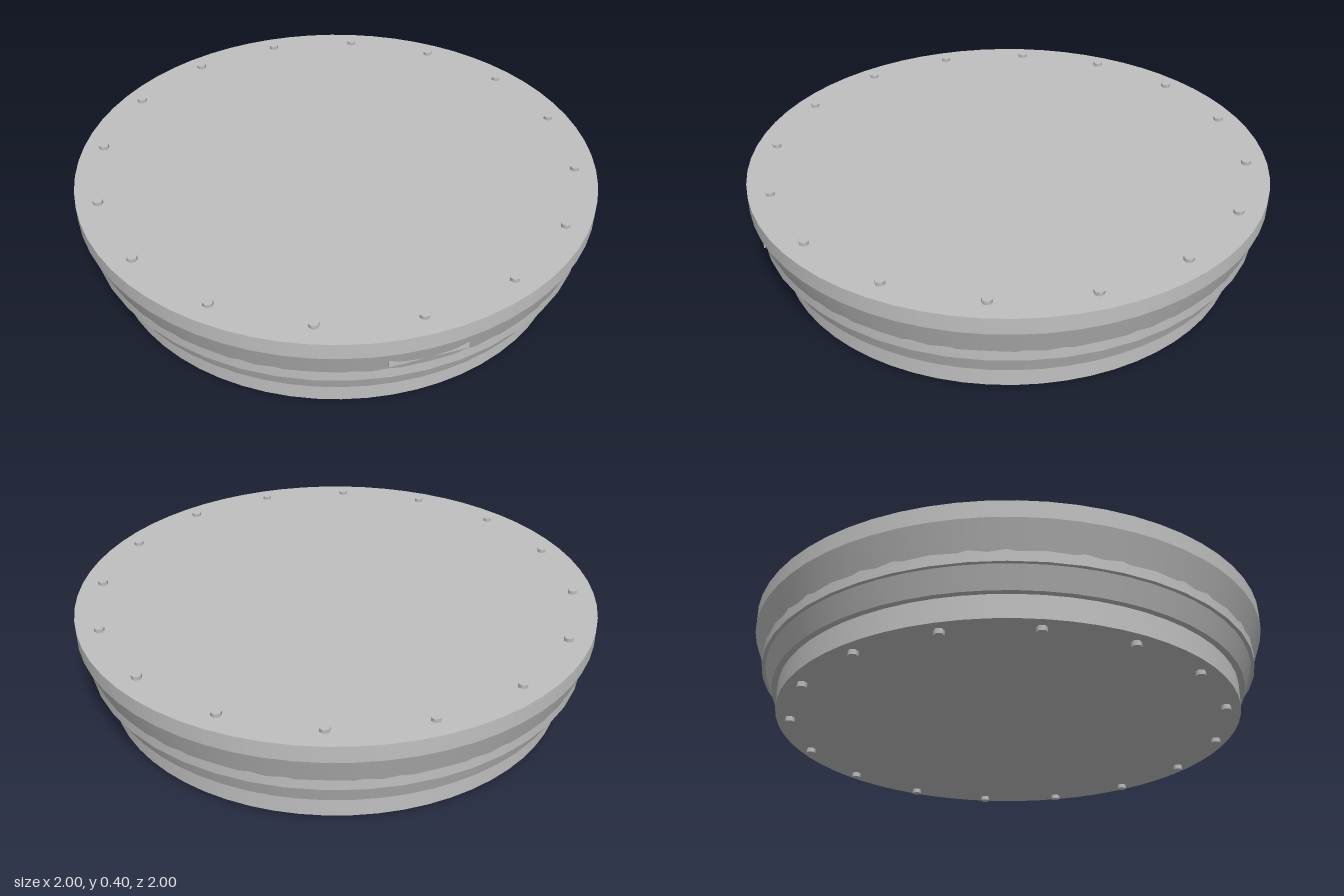
import * as THREE from 'three';

const steel = new THREE.MeshStandardMaterial({ color: 0xc0c0c0 });
steel.name = 'steel';

// Upright cylinder or cone between two heights
function drum(name, rTop, rBottom, y0, y1, sides = 64) {
  const geometry = new THREE.CylinderGeometry(rTop, rBottom, y1 - y0, sides);
  geometry.translate(0, (y0 + y1) / 2, 0);
  const mesh = new THREE.Mesh(geometry, steel);
  mesh.name = name;
  return mesh;
}

// Ring of sixteen hexagonal bolt heads
function boltCircle(name, radius, y0, y1) {
  const ring = new THREE.Group();
  ring.name = name;
  const geometry = new THREE.CylinderGeometry(0.019, 0.019, y1 - y0, 6).rotateY(Math.PI / 6);
  for (let i = 0; i < 16; i++) {
    const a = (i / 16) * Math.PI * 2;
    const bolt = new THREE.Mesh(geometry, steel);
    bolt.name = 'bolt';
    bolt.position.set(Math.sin(a) * radius, (y0 + y1) / 2, Math.cos(a) * radius);
    ring.add(bolt);
  }
  return ring;
}

export function createModel() {
  const model = new THREE.Group();
  model.name = 'boltedDisc';

  // Stacked body: foot, flared side, raised band and rim
  model.add(drum('foot', 0.897, 0.897, 0.018, 0.12));
  model.add(drum('flaredBody', 1, 0.92, 0.105, 0.325));
  model.add(drum('band', 0.964, 0.964, 0.185, 0.235, 48));
  model.add(drum('rim', 1, 1, 0.325, 0.388));

  // Flat plate almost sunk into the front of the flare
  const plate = new THREE.Mesh(new THREE.BoxGeometry(0.28, 0.04, 0.04), steel);
  plate.name = 'frontPlate';
  plate.position.set(0, 0.275, 0.954);
  model.add(plate);

  // Bolts on both faces
  model.add(boltCircle('topBolts', 0.918, 0.375, 0.402));
  model.add(boltCircle('bottomBolts', 0.843, 0, 0.03));

  return model;
}
